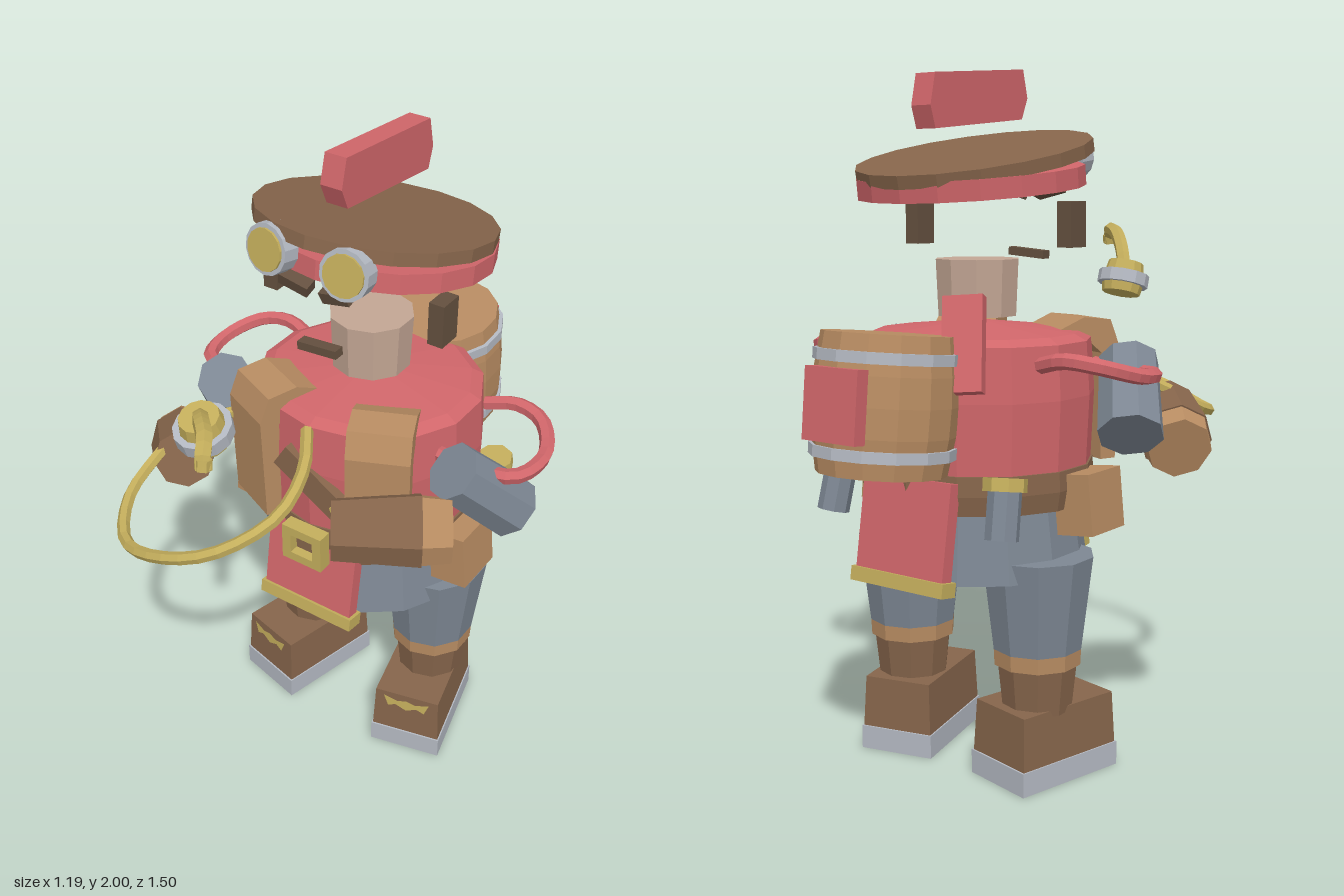
import * as THREE from 'three';

const mat = (name, color, side = THREE.FrontSide) => {
  const m = new THREE.MeshStandardMaterial({ color, flatShading: true, side });
  m.name = name;
  return m;
};
const M = {
  red: mat('red cloth', 0xd0666a),
  brown: mat('brown leather', 0x86654b),
  dark: mat('dark brown', 0x64503f),
  tan: mat('tan leather', 0xb88c62),
  blue: mat('blue grey cloth', 0x7d8793),
  grey: mat('light grey metal', 0xb4b9c2),
  gold: mat('gold', 0xc4ae5c),
  skin: mat('skin', 0xc3a694),
};
const V = (x, y, z) => new THREE.Vector3(x, y, z);

export function createModel() {
  const root = new THREE.Group();
  root.name = 'adventurer';
  const body = new THREE.Group();
  body.name = 'body';
  body.position.x = 0.02;
  root.add(body);

  const add = (name, geo, m, pos = [0, 0, 0], rot = [0, 0, 0], parent = body) => {
    const mesh = new THREE.Mesh(geo, m);
    mesh.name = name;
    mesh.position.set(...pos);
    mesh.rotation.set(...rot);
    parent.add(mesh);
    return mesh;
  };
  const box = (w, h, d) => new THREE.BoxGeometry(w, h, d);
  const cyl = (rt, rb, h, n = 10) => new THREE.CylinderGeometry(rt, rb, h, n);
  // cylinder running from a to b
  const limb = (name, a, b, ra, rb, n, m) => {
    const mesh = add(name, cyl(rb, ra, a.distanceTo(b), n), m);
    mesh.position.copy(a).add(b).multiplyScalar(0.5);
    mesh.quaternion.setFromUnitVectors(V(0, 1, 0), b.clone().sub(a).normalize());
    return mesh;
  };
  const tube = (name, pts, r, m, seg = 20) => add(name,
    new THREE.TubeGeometry(new THREE.CatmullRomCurve3(pts.map(p => V(...p))), seg, r, 6), m);
  // side profile of [z, y] points, given a width along x
  const sideProfile = (pts, w) => {
    const g = new THREE.ExtrudeGeometry(new THREE.Shape(pts.map(p => new THREE.Vector2(...p))),
      { depth: w, bevelEnabled: false });
    return g.translate(0, 0, -w / 2).rotateY(-Math.PI / 2);
  };
  // elliptical ring of the trunk
  const trunk = (name, pts, m, sz = 0.93) => {
    const g = new THREE.LatheGeometry(pts.map(p => new THREE.Vector2(...p)), 14);
    return add(name, g.scale(1, 1, sz), m, [0, 0, -0.13]);
  };

  // Hat
  add('hatCrown', cyl(0.335, 0.335, 0.036, 18), M.brown, [0, 1.748, -0.14], [-0.215, 0, 0]);
  add('hatBrim', cyl(0.33, 0.33, 0.055, 18).scale(1, 1, 0.92), M.red, [0, 1.685, -0.16], [-0.115, 0, 0]);
  add('hatCrest', sideProfile([[0.048, 2], [0.069, 1.92], [0.042, 1.86], [-0.35, 1.82],
    [-0.37, 1.88], [-0.35, 1.965]].reverse(), 0.066), M.red);

  // Goggles and facial hair
  for (const s of [-1, 1]) {
    const goggle = new THREE.Group();
    goggle.name = 'goggle';
    goggle.position.set(s * 0.118, 1.76, 0.165);
    goggle.rotation.set(-0.15, s * 0.12, 0);
    body.add(goggle);
    add('goggleRim', cyl(0.07, 0.07, 0.05, 14), M.grey, [0, 0, 0], [Math.PI / 2, 0, 0], goggle);
    add('goggleLens', cyl(0.058, 0.058, 0.008, 14), M.gold, [0, 0, 0.028], [Math.PI / 2, 0, 0], goggle);
    add('eyebrow', box(0.09, 0.035, 0.04), M.dark, [s * 0.065, 1.665, 0.135], [0.3, 0, s * 0.25]);
    add('sideburn', box(0.046, 0.125, 0.075), M.dark, [s * 0.27, 1.567, -0.055]);
  }
  add('mouth', box(0.125, 0.024, 0.034), M.dark, [0.0, 1.478, 0.125], [0, 0, 0.08]);
  add('neck', cyl(0.122, 0.115, 0.16, 10), M.skin, [0, 1.39, -0.127]);

  // Trunk
  trunk('torso', [[0.0, 0.88], [0.335, 0.88], [0.345, 1.1], [0.335, 1.25], [0.3, 1.268], [0.0, 1.3]], M.red);
  trunk('belt', [[0, 0.795], [0.335, 0.795], [0.345, 0.85], [0.342, 0.905], [0, 0.905]], M.brown);
  trunk('kilt', [[0, 0.6], [0.325, 0.6], [0.295, 0.81], [0, 0.81]], M.blue, 0.95);

  // Vest panels hanging over the shoulders, side pouches, vials
  const panel = sideProfile([[-0.17, 1.26], [-0.06, 1.305], [0.03, 1.295], [0.06, 1.22], [0.05, 0.89],
    [0, 0.89], [0, 1.2], [-0.06, 1.25]].reverse(), 0.18);
  for (const s of [-1, 1]) {
    add('vestPanel', panel, M.tan, [s * 0.2, 0, 0.125], [0, s * 0.42, 0]);
    add('pouch', box(0.115, 0.17, 0.165), M.tan, [s * 0.355, 0.81, -0.085], [0, 0, s * 0.1]);
    limb('vialBody', V(s * 0.3, 0.755, -0.42), V(s * 0.29, 0.89, -0.39), 0.046, 0.046, 8, M.blue);
    limb('vialCap', V(s * 0.29, 0.88, -0.392), V(s * 0.287, 0.915, -0.385), 0.06, 0.06, 8, M.gold);
  }
  add('chestStrap', box(0.26, 0.085, 0.03), M.brown, [0.02, 1.06, 0.185], [0, 0, -0.55]);
  add('strapStud', box(0.04, 0.04, 0.025), M.gold, [0.11, 1.01, 0.195], [0, 0, 0.5]);

  // Buckle
  const frame = new THREE.Shape([[-0.068, -0.06], [0.068, -0.06], [0.068, 0.06], [-0.068, 0.06]]
    .map(p => new THREE.Vector2(...p)));
  frame.holes.push(new THREE.Path([[-0.038, -0.032], [-0.038, 0.032], [0.038, 0.032], [0.038, -0.032]]
    .map(p => new THREE.Vector2(...p))));
  add('buckle', new THREE.ExtrudeGeometry(frame, { depth: 0.045, bevelEnabled: false }), M.gold, [0, 0.845, 0.185]);
  add('buckleCentre', box(0.08, 0.07, 0.02), M.brown, [0, 0.845, 0.19]);

  // Front and back loincloths with gold hems
  for (const s of [-1, 1]) {
    const cz = z => -0.14 + s * z;
    const cloth = add(s > 0 ? 'frontCloth' : 'backCloth', box(0.305, 0.29, 0.04), M.red,
      [0, 0.745, cz(0.308)], [-s * 0.16, 0, 0]);
    add('clothHem', box(0.325, 0.04, 0.058), M.gold, [0, -0.14, 0], [0, 0, 0], cloth);
  }

  // Legs and boots, toes turned out
  const bootGeo = box(0.22, 0.155, 0.35);
  const bp = bootGeo.attributes.position;
  for (let i = 0; i < bp.count; i++) if (bp.getY(i) > 0) bp.setXYZ(i, bp.getX(i) * 0.94, bp.getY(i), bp.getZ(i) * 0.96);
  const emblem = new THREE.ShapeGeometry(new THREE.Shape([[-0.075, 0.025], [-0.03, 0.012], [0, 0.02],
    [0.03, 0.012], [0.075, 0.025], [0.06, -0.015], [0.035, -0.004], [0, -0.02], [-0.035, -0.004],
    [-0.06, -0.015]].reverse().map(p => new THREE.Vector2(...p))));
  for (const s of [-1, 1]) {
    const leg = new THREE.Group();
    leg.name = s > 0 ? 'leftLeg' : 'rightLeg';
    leg.position.set(s * 0.23, 0, -0.155);
    body.add(leg);
    add('trouserLeg', cyl(0.162, 0.128, 0.28, 10), M.blue, [0, 0.515, 0], [0, 0, 0], leg);
    add('bootCuff', cyl(0.13, 0.127, 0.06, 10), M.tan, [0, 0.37, 0], [0, 0, 0], leg);
    add('bootShaft', cyl(0.118, 0.102, 0.15, 10), M.brown, [0, 0.28, 0], [0, 0, 0], leg);
    const boot = new THREE.Group();
    boot.name = 'boot';
    boot.position.z = 0.04;
    boot.rotation.y = s * 0.24;
    leg.add(boot);
    add('bootFoot', bootGeo, M.brown, [0, 0.145, 0], [0, 0, 0], boot);
    add('bootSole', box(0.228, 0.07, 0.36), M.grey, [0, 0.035, 0], [0, 0, 0], boot);
    add('bootEmblem', emblem, M.gold, [0, 0.186, 0.175], [-0.045, 0, 0], boot);
  }

  // Sleeves and shoulder tubes
  for (const s of [-1, 1]) {
    limb('sleeve', V(s * 0.495, 1.01, -0.1), V(s * 0.39, 1.19, 0.06), 0.092, 0.085, 8, M.blue);
    tube('shoulderTube', [[s * 0.31, 1.2, -0.26], [s * 0.4, 1.22, -0.28], [s * 0.49, 1.21, -0.26],
      [s * 0.555, 1.18, -0.16], [s * 0.53, 1.17, -0.04], [s * 0.4, 1.17, -0.005],
      [s * 0.31, 1.18, 0.0]], 0.022, M.red);
  }
  // Forearms, tan at the elbow
  const forearm = (a, b) => {
    const mid = a.clone().lerp(b, 0.25);
    limb('elbowCuff', a, mid, 0.092, 0.1, 8, M.tan);
    limb('forearm', mid, b, 0.105, 0.088, 8, M.brown);
  };
  forearm(V(0.44, 1.06, 0.14), V(0.17, 1.06, 0.32));
  forearm(V(-0.54, 0.95, 0.09), V(-0.39, 1.03, 0.27));

  // Barrel on the back
  const barrel = new THREE.Group();
  barrel.name = 'barrel';
  barrel.position.set(0, 1.105, -0.53);
  barrel.rotation.x = 0.1;
  body.add(barrel);
  const bp2 = [[0, -0.185], [0.175, -0.185], [0.192, -0.08], [0.195, 0], [0.192, 0.08], [0.178, 0.185], [0, 0.185]];
  add('barrelBody', new THREE.LatheGeometry(bp2.map(p => new THREE.Vector2(...p)), 14), M.tan, [0, 0, 0], [0, 0, 0], barrel);
  for (const y of [-0.125, 0.125]) add('barrelHoop', cyl(0.196, 0.196, 0.03, 14), M.grey, [0, y, 0], [0, 0, 0], barrel);
  add('barrelPatch', box(0.18, 0.19, 0.04), M.red, [0, 0, -0.192], [0, 0, 0], barrel);
  add('barrelStrap', box(0.11, 0.26, 0.04), M.red, [-0.17, 1.26, -0.41], [0.35, 0.35, -0.2]);

  // Hose loop and floating spout
  tube('hose', [[-0.26, 1.17, 0.11], [-0.42, 1.1, 0.2], [-0.455, 1.03, 0.34], [-0.43, 1.0, 0.47],
    [-0.32, 0.99, 0.61], [-0.16, 1.04, 0.655], [0, 1.1, 0.61], [0.1, 1.17, 0.47],
    [0.08, 1.22, 0.32], [0, 1.245, 0.19]], 0.018, M.gold, 28);
  const base = V(-0.105, 1.355, 0.485), up = V(0, 0.95, 0.3).normalize();
  const along = d => base.clone().addScaledVector(up, d);
  limb('spoutFoot', along(-0.015), along(0.015), 0.06, 0.065, 12, M.gold);
  limb('spoutPlate', along(0.012), along(0.05), 0.08, 0.08, 12, M.grey);
  limb('spoutCollar', along(0.048), along(0.085), 0.062, 0.055, 12, M.gold);
  tube('spoutPipe', [[-0.1, 1.41, 0.51], [-0.06, 1.48, 0.555], [0.0, 1.525, 0.62],
    [0.06, 1.535, 0.68], [0.085, 1.515, 0.72], [0.09, 1.49, 0.725]], 0.022, M.gold, 12);
  const nozzleEnd = V(0.09, 1.488, 0.726);
  limb('spoutNozzle', nozzleEnd, V(0.088, 1.515, 0.72), 0.022, 0.022, 6, M.gold);

  return root;
}
